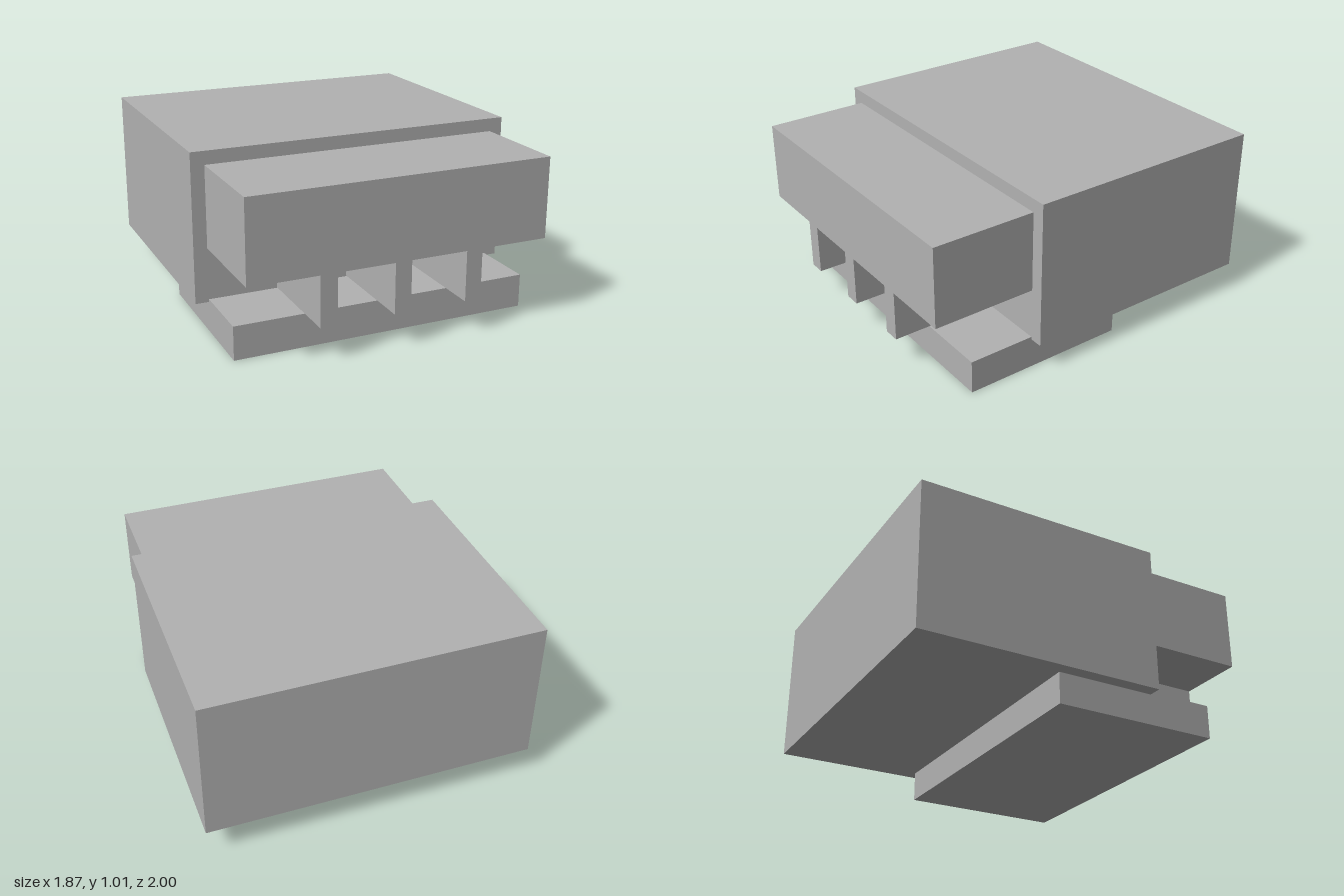
import * as THREE from 'three';

export function createModel() {
  const model = new THREE.Group();
  const grey = new THREE.MeshStandardMaterial({ color: 0xb2b2b2 });
  grey.name = 'light grey';

  const add = (name, geometry) => {
    const mesh = new THREE.Mesh(geometry, grey);
    mesh.name = name;
    model.add(mesh);
  };
  // Box given by its lower and upper bounds
  const box = (x0, x1, y0, y1, z0, z1) =>
    new THREE.BoxGeometry(x1 - x0, y1 - y0, z1 - z0)
      .translate((x0 + x1) / 2, (y0 + y1) / 2, (z0 + z1) / 2);

  // Large rear block and the low slab it rests on
  add('mainBlock', box(-0.934, 0.934, 0.175, 1.012, -1, 0.408));
  add('baseSlab', box(-0.858, 0.858, 0, 0.19, -0.163, 0.79));

  // Front overhang with three supporting fins, as one profile
  const top = 0.937, underside = 0.48, finBottom = 0.194;
  const profile = new THREE.Shape();
  profile.moveTo(-0.858, top);
  profile.lineTo(-0.858, underside);
  for (const x of [-0.421, -0.002, 0.418]) {
    profile.lineTo(x - 0.047, underside);
    profile.lineTo(x - 0.047, finBottom);
    profile.lineTo(x + 0.047, finBottom);
    profile.lineTo(x + 0.047, underside);
  }
  profile.lineTo(0.858, underside);
  profile.lineTo(0.858, top);
  profile.closePath();
  add('frontOverhang', new THREE.ExtrudeGeometry(profile, { depth: 0.592, bevelEnabled: false })
    .translate(0, 0, 0.408));

  return model;
}
